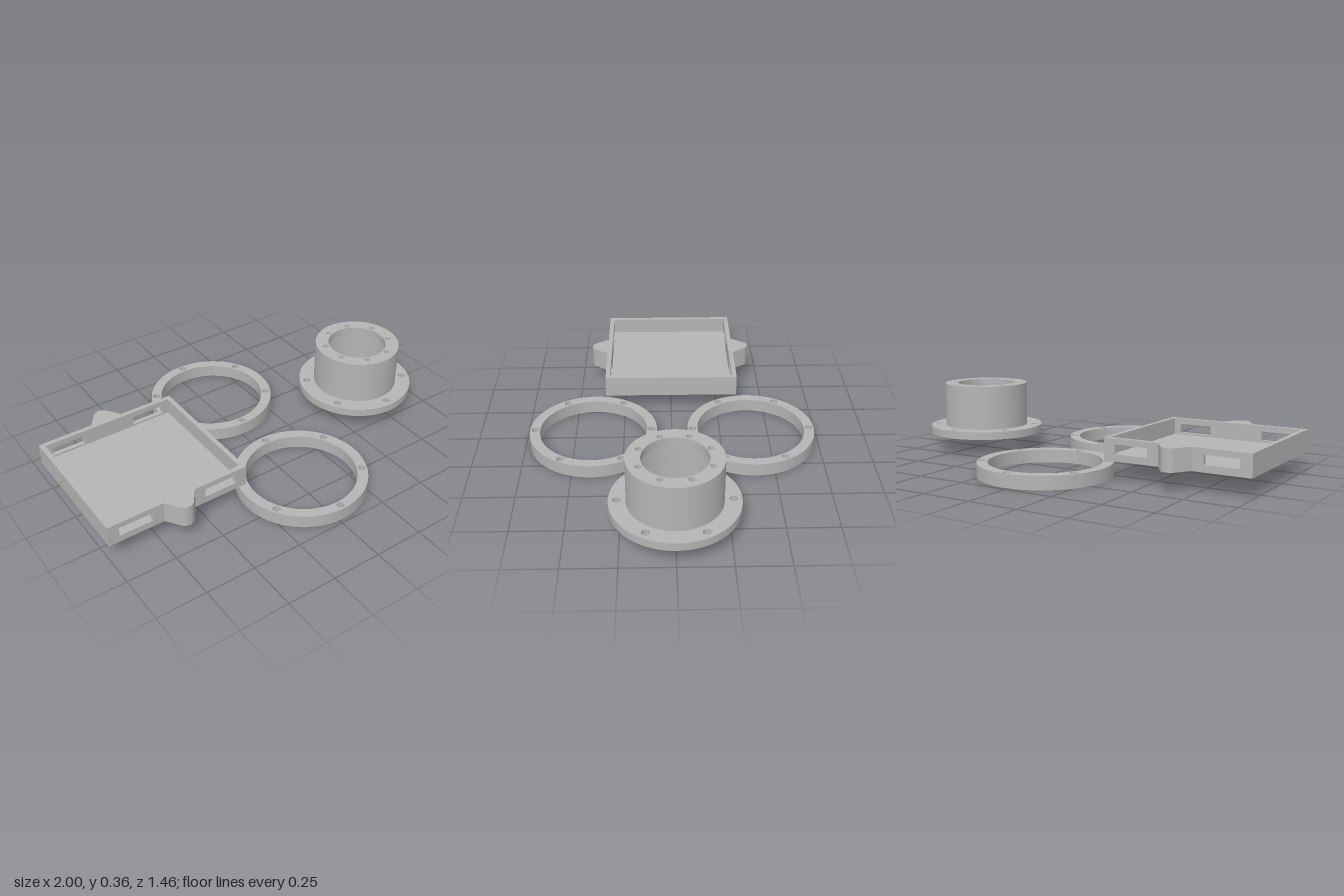
import * as THREE from 'three';
import { toCreasedNormals } from 'three/addons/utils/BufferGeometryUtils.js';

const grey = new THREE.MeshStandardMaterial({ color: 0xb4b4b4 });
grey.name = 'plain grey';

function addMesh(parent, name, geometry, x = 0, y = 0, z = 0) {
  const mesh = new THREE.Mesh(geometry, grey);
  mesh.name = name;
  mesh.position.set(x, y, z);
  parent.add(mesh);
  return mesh;
}

function circleHole(x, y, r) {
  return new THREE.Path().absarc(x, y, r, 0, Math.PI * 2, true);
}

// Extrude a shape upwards from y = 0
function plate(shape, height, curveSegments = 64) {
  const geometry = new THREE.ExtrudeGeometry(shape, { depth: height, bevelEnabled: false, curveSegments });
  geometry.rotateX(-Math.PI / 2);
  return toCreasedNormals(geometry, 0.5);
}

// Round plate with a bore and an optional circle of screw holes
function annulus(outer, inner, height, count = 0, pitch = 0, holeR = 0, start = 0) {
  const shape = new THREE.Shape().absarc(0, 0, outer, 0, Math.PI * 2, false);
  shape.holes.push(circleHole(0, 0, inner));
  for (let i = 0; i < count; i++) {
    const a = start + (i / count) * Math.PI * 2;
    shape.holes.push(circleHole(Math.cos(a) * pitch, Math.sin(a) * pitch, holeR));
  }
  return plate(shape, height);
}

// Long tray wall with two slots, standing upright and centred in z
function slottedWall(width, height, thick) {
  const w = width / 2;
  const shape = new THREE.Shape();
  shape.moveTo(-w, 0).lineTo(w, 0).lineTo(w, height).lineTo(-w, height).closePath();
  for (const s of [-1, 1]) {
    const x0 = s * 0.223 - 0.085, x1 = s * 0.223 + 0.085;
    const slot = new THREE.Path();
    slot.moveTo(x0, 0.034).lineTo(x0, 0.079).lineTo(x1, 0.079).lineTo(x1, 0.034).closePath();
    shape.holes.push(slot);
  }
  const geometry = new THREE.ExtrudeGeometry(shape, { depth: thick, bevelEnabled: false });
  return geometry.translate(0, 0, -thick / 2);
}

// Rounded triangular ear pointing to -z
function earShape(holeR) {
  const shape = new THREE.Shape();
  const a = THREE.MathUtils.degToRad(33);
  shape.moveTo(-0.083, 0).lineTo(0.083, 0);
  shape.absarc(0, 0.044, 0.043, a, Math.PI - a, false);
  shape.closePath();
  if (holeR) shape.holes.push(circleHole(0, 0.044, holeR));
  return shape;
}

export function createModel() {
  const model = new THREE.Group();
  model.name = 'enclosureParts';

  // Two clamping rings
  for (const s of [-1, 1]) {
    addMesh(model, s > 0 ? 'frontRing' : 'backRing',
      annulus(0.326, 0.274, 0.066, 6, 0.3, 0.019, Math.PI / 2), 0.023, 0, s * 0.404);
  }

  // Flanged collar: base flange, hollow barrel, inward lip
  const collar = new THREE.Group();
  collar.name = 'flangedCollar';
  collar.position.set(0.699, 0.092, 0);
  addMesh(collar, 'baseFlange', annulus(0.301, 0.195, 0.04, 6, 0.262, 0.019, Math.PI / 2));
  addMesh(collar, 'barrel', annulus(0.221, 0.195, 0.188), 0, 0.04, 0);
  addMesh(collar, 'topLip', annulus(0.221, 0.152, 0.04, 8, 0.174, 0.015, Math.PI / 8), 0, 0.228, 0);
  model.add(collar);

  // Open tray
  const W = 0.73, D = 0.704, H = 0.108, T = 0.024;
  const tray = new THREE.Group();
  tray.name = 'tray';
  tray.position.set(-0.635, 0.092, 0);
  addMesh(tray, 'trayFloor', new THREE.BoxGeometry(W - 2 * T, T, D - 2 * T), 0, T / 2, 0);
  for (const s of [-1, 1]) {
    addMesh(tray, s > 0 ? 'leftWall' : 'rightWall',
      new THREE.BoxGeometry(T, H, D - 2 * T), s * (W - T) / 2, H / 2, 0);
    addMesh(tray, s > 0 ? 'frontWall' : 'backWall',
      slottedWall(W, H, T), 0, 0, s * (D - T) / 2);

    // Mounting ear with a blind screw hole from below
    const ear = new THREE.Group();
    ear.name = s > 0 ? 'frontEar' : 'backEar';
    ear.position.z = s * D / 2;
    if (s > 0) ear.rotation.y = Math.PI;
    addMesh(ear, 'earLower', plate(earShape(0.016), 0.08, 32));
    addMesh(ear, 'earCap', plate(earShape(0), H - 0.08, 32), 0, 0.08, 0);
    tray.add(ear);
  }
  model.add(tray);

  return model;
}
